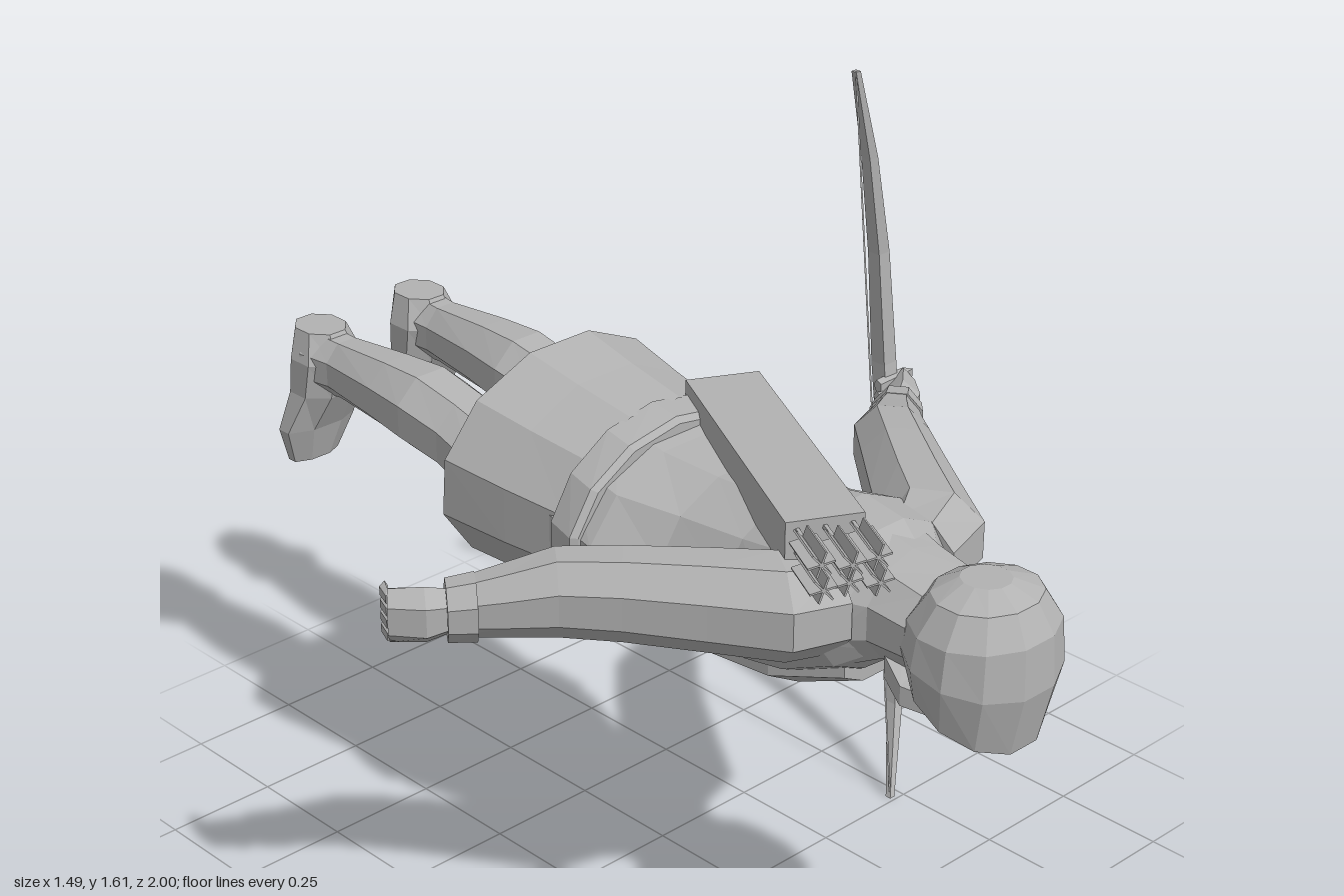
import * as THREE from 'three';

const grey = new THREE.MeshStandardMaterial({ color: 0xb2b2b2 });
grey.name = 'stone grey';
grey.flatShading = true;
grey.side = THREE.DoubleSide;

// Lofts rings of n corners; each ring is [centre, u half-axis, v half-axis].
function loft(rings, n, caps = true) {
  const pos = [], idx = [];
  for (const [c, u, v] of rings) {
    for (let i = 0; i < n; i++) {
      const a = ((i + 0.5) / n) * Math.PI * 2, s = Math.sin(a), k = Math.cos(a);
      for (let j = 0; j < 3; j++) pos.push(c[j] + u[j] * k + v[j] * s);
    }
  }
  for (let r = 0; r < rings.length - 1; r++) {
    for (let i = 0; i < n; i++) {
      const a = r * n + i, b = r * n + (i + 1) % n;
      idx.push(a, b, a + n, b, b + n, a + n);
    }
  }
  if (caps) {
    const last = (rings.length - 1) * n;
    for (let i = 1; i < n - 1; i++) idx.push(0, i + 1, i, last, last + i, last + i + 1);
  }
  // Turn the faces outward when the loft came out reversed.
  let volume = 0;
  const p = (i) => new THREE.Vector3().fromArray(pos, i * 3);
  for (let i = 0; i < idx.length; i += 3) volume += p(idx[i]).dot(p(idx[i + 1]).cross(p(idx[i + 2])));
  if (volume < 0) idx.reverse();
  const g = new THREE.BufferGeometry();
  g.setAttribute('position', new THREE.Float32BufferAttribute(pos, 3));
  g.setIndex(idx);
  const flat = g.toNonIndexed();
  flat.computeVertexNormals();
  return flat;
}

// Ring facing along z: x, y, z, half width, half height, slant of the top along z
const zRing = ([x, y, z, rx, ry, slant = 0]) => [[x, y, z], [rx, 0, 0], [0, ry, slant]];
// Ring facing along y: y, z, half width, half depth, rise of the +z side
const yRing = ([y, z, rx, rz, rise = 0]) => [[0, y, z], [rx, 0, 0], [0, rise, rz]];
// Upright ring across a limb: x, y, z, half width, half height, heading of the width in x and z
const limbRing = (side) => ([x, y, z, ru, rv, ang]) =>
  [[side * x, y, z], [side * ru * Math.cos(ang), 0, ru * Math.sin(ang)], [0, rv, 0]];

export function createModel() {
  const model = new THREE.Group();
  model.name = 'proneArcher';
  const add = (name, geometry, parent = model) => {
    const mesh = new THREE.Mesh(geometry, grey);
    mesh.name = name;
    parent.add(mesh);
    return mesh;
  };

  // Torso, neck and belt
  add('torso', loft([
    [0, 0.86, 0.68, 0.11, 0.1], [0, 0.855, 0.61, 0.19, 0.15], [0, 0.835, 0.5, 0.23, 0.18],
    [0, 0.81, 0.38, 0.215, 0.185], [0, 0.795, 0.22, 0.23, 0.195], [0, 0.8, 0.08, 0.285, 0.2],
    [0, 0.815, -0.06, 0.27, 0.21]].map(zRing), 12));
  add('collar', loft([
    [0, 0.86, 0.6, 0.17, 0.14, -0.03], [0, 0.865, 0.68, 0.13, 0.115], [0, 0.86, 0.77, 0.125, 0.1]].map(zRing), 10));
  add('belt', loft([
    [0, 0.815, 0.05, 0.285, 0.205], [0, 0.815, 0.04, 0.3, 0.218],
    [0, 0.82, -0.03, 0.285, 0.222], [0, 0.82, -0.04, 0.26, 0.2]].map(zRing), 14));
  // Wrap folded over the chest
  add('chestWrap', loft([
    [0, 0.72, 0.6, 0.1, 0.05], [0, 0.7, 0.45, 0.16, 0.09], [0, 0.69, 0.25, 0.17, 0.095],
    [0, 0.7, 0.05, 0.17, 0.09]].map(zRing), 8));

  // Open skirt and front flap
  add('skirt', loft([
    [0, 0.82, -0.02, 0.265, 0.22], [0, 0.83, -0.17, 0.29, 0.235],
    [0, 0.845, -0.33, 0.315, 0.248, 0.022]].map(zRing), 12, false));
  const flap = new THREE.Shape([[0, 0.625], [-0.03, 0.58], [-0.18, 0.555], [-0.195, 0.59], [-0.05, 0.63]]
    .map(([z, y]) => new THREE.Vector2(z, y)));
  const flapGeo = new THREE.ExtrudeGeometry(flap, { depth: 0.16, bevelEnabled: false });
  flapGeo.rotateY(-Math.PI / 2).translate(0.08, 0, 0);
  add('frontFlap', flapGeo);

  // Hood with a hollow opening, face and scarf
  add('hood', loft([
    [0.99, 0.86, 0.05, 0.05], [0.965, 0.865, 0.115, 0.1], [0.905, 0.862, 0.155, 0.137],
    [0.83, 0.86, 0.165, 0.145, -0.03], [0.745, 0.85, 0.145, 0.125, -0.075],
    [0.755, 0.845, 0.115, 0.1, -0.06], [0.82, 0.845, 0.1, 0.09, -0.03]].map(yRing), 12));
  const face = new THREE.IcosahedronGeometry(1, 1);
  face.scale(0.09, 0.09, 0.105).translate(0, 0.775, 0.835);
  add('face', face);
  add('scarf', loft([
    [0, 0.74, 0.87, 0.04, 0.035], [0, 0.72, 0.81, 0.085, 0.052],
    [0, 0.73, 0.75, 0.11, 0.055], [0, 0.77, 0.7, 0.1, 0.06]].map(zRing), 8));

  // Limbs, mirrored left and right
  for (const side of [1, -1]) {
    const tag = side > 0 ? 'left' : 'right';
    const limb = limbRing(side);
    add(tag + 'Arm', loft([
      [0.12, 0.87, 0.58, 0.09, 0.1, 1.3], [0.21, 0.88, 0.54, 0.115, 0.105, 1.0],
      [0.29, 0.88, 0.43, 0.1, 0.1, 0.75], [0.39, 0.88, 0.3, 0.09, 0.093, 0.8],
      [0.47, 0.875, 0.2, 0.085, 0.088, 0.9], [0.55, 0.86, 0.135, 0.065, 0.072, 0.95],
      [0.635, 0.848, 0.07, 0.042, 0.055, 0.95]].map(limb), 8));
    add(tag + 'Cuff', loft([
      [0.59, 0.85, 0.105, 0.062, 0.07, 0.95], [0.635, 0.846, 0.07, 0.055, 0.064, 0.95]].map(limb), 8));
    add(tag + 'Palm', loft([
      [0.62, 0.845, 0.08, 0.036, 0.045, 0.95], [0.67, 0.842, 0.05, 0.045, 0.06, 0.95],
      [0.722, 0.842, 0.005, 0.03, 0.058, 0.8]].map(limb), 6));
    const fingers = side > 0
      ? [[0.735, 0, 0.55], [0.7, -0.0, 1.5], [0.64, 0.005, 1.75]]
      : [[0.69, 0.025, 0.8], [0.72, 0.0, 0.7], [0.705, -0.03, 0.2]];
    for (let f = 0; f < 4; f++) {
      add(tag + 'Finger', loft(fingers.map(([x, z, a], i) =>
        limb([x, 0.8 + f * 0.027, z, 0.02 - i * 0.003, 0.015, a])), 5));
    }
    add(tag + 'Thumb', loft([
      [0.65, 0.81, 0.05, 0.02, 0.02, 0.9], [0.66, 0.8, 0.01, 0.017, 0.018, 0.4],
      [0.65, 0.81, -0.01, 0.01, 0.012, 0.2]].map(limb), 5));
    // Leg narrowing to the ankle
    add(tag + 'Leg', loft([
      [0.14, 0.83, -0.1, 0.11, 0.11], [0.135, 0.835, -0.33, 0.105, 0.095], [0.135, 0.865, -0.45, 0.095, 0.09],
      [0.135, 0.885, -0.57, 0.1, 0.092], [0.138, 0.89, -0.68, 0.085, 0.083],
      [0.14, 0.89, -0.85, 0.062, 0.07], [0.145, 0.89, -0.93, 0.07, 0.075]]
      .map(([x, ...rest]) => zRing([side * x, ...rest])), 8));
    // Foot pointing down, with a flat sole at the back
    add(tag + 'Foot', loft([
      [0.14, 0.965, -0.94, 0.055, 0.06], [0.14, 0.9, -0.925, 0.08, 0.075], [0.143, 0.82, -0.935, 0.08, 0.065],
      [0.15, 0.73, -0.96, 0.1, 0.04], [0.155, 0.645, -0.973, 0.065, 0.027]]
      .map(([x, y, z, rx, rz]) => [[side * x, y, z], [rx, 0, 0], [0, 0, rz * 1.0]])
      .map(([c, u, v]) => [c, u, [0, 0, v[2] / Math.sin(Math.PI * 3 / 8)]]), 8))
      .geometry.attributes.position.array.forEach((val, i, arr) => {
        if (i % 3 === 2) arr[i] = Math.max(val, -1);
      });
  }

  // Quiver lying across the back, with its arrows
  const quiver = new THREE.Group();
  quiver.name = 'quiver';
  quiver.position.set(0.022, 1.0, 0.285);
  quiver.rotation.y = Math.atan2(-0.305, 0.58);
  model.add(quiver);
  add('quiverCase', new THREE.BoxGeometry(0.157, 0.105, 0.655), quiver);
  for (let i = 0; i < 6; i++) {
    const arrow = new THREE.Group();
    arrow.name = 'arrow';
    arrow.position.set(-0.055 + (i % 3) * 0.055, i < 3 ? 0.033 : -0.012, 0.33 + (i % 2) * 0.015);
    quiver.add(arrow);
    add('shaft', new THREE.CylinderGeometry(0.006, 0.006, 0.16, 5), arrow).rotation.x = Math.PI / 2;
    for (let k = 0; k < 3; k++) {
      const vane = add('fletching', new THREE.BoxGeometry(0.055, 0.004, 0.11), arrow);
      vane.position.z = 0.085;
      vane.rotation.z = (k * Math.PI) / 3 + 0.2;
    }
  }

  // Curved bow and its string
  const top = [0.54, 1.62, 0.005], bottom = [0.472, 0.012, 0.235];
  const bow = [[...top, 0.007], [0.612, 1.41, -0.015, 0.013], [0.665, 1.18, -0.028, 0.017],
    [0.685, 0.92, -0.02, 0.02], [0.68, 0.7, 0.012, 0.02], [0.632, 0.42, 0.085, 0.017],
    [0.56, 0.19, 0.16, 0.013], [...bottom, 0.007]];
  add('bow', loft(bow.map(([x, y, z, r]) => [[x, y, z], [r * 1.35, 0, 0], [0, 0, r * 1.35]]), 4));
  const line = new THREE.LineCurve3(new THREE.Vector3(...top), new THREE.Vector3(...bottom));
  add('bowString', new THREE.TubeGeometry(line, 1, 0.0025, 4));

  return model;
}
